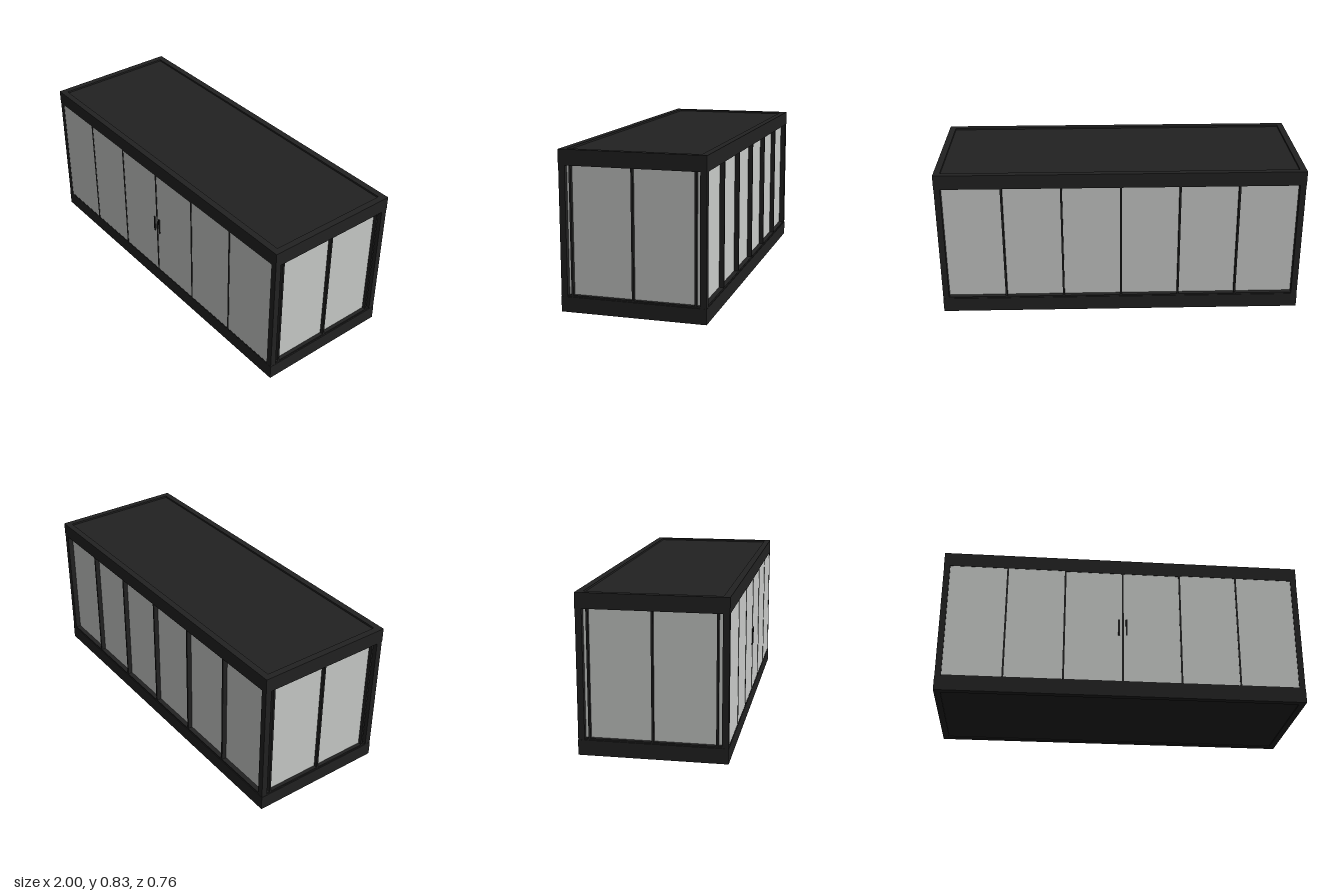
import * as THREE from 'three';

const frameMat = new THREE.MeshStandardMaterial({ color: 0x222222 });
frameMat.name = 'charcoal frame';
const glassMat = new THREE.MeshStandardMaterial({ color: 0xc9cbc9 });
glassMat.name = 'pale glass';

const X = 1, Z = 0.38, H = 0.83;        // outer half sizes and height
const POST = 0.035, BEAM = 0.08;        // post width, beam height
const LOW = 0.088, HIGH = 0.752;        // glazed opening

export function createModel() {
  const model = new THREE.Group();
  model.name = 'glassContainerRoom';

  // Box given by its minimum and maximum corners
  function box(parent, name, mat, x0, x1, y0, y1, z0, z1) {
    const mesh = new THREE.Mesh(new THREE.BoxGeometry(x1 - x0, y1 - y0, z1 - z0), mat);
    mesh.position.set((x0 + x1) / 2, (y0 + y1) / 2, (z0 + z1) / 2);
    mesh.name = name;
    parent.add(mesh);
  }
  function group(name) {
    const g = new THREE.Group();
    g.name = name;
    model.add(g);
    return g;
  }

  // Base and roof rings of beams
  const frame = group('frame');
  for (const [name, y0, y1] of [['base', 0, BEAM], ['roof', H - BEAM, H]]) {
    for (const s of [-1, 1]) {
      const zc = s * (Z - POST / 2), xc = s * (X - POST / 2), h = POST / 2;
      box(frame, name + 'LongBeam', frameMat, -X, X, y0, y1, zc - h, zc + h);
      box(frame, name + 'EndBeam', frameMat, xc - h, xc + h, y0, y1, -Z + POST, Z - POST);
    }
  }

  // Corner posts
  for (const sx of [-1, 1]) for (const sz of [-1, 1]) {
    const xc = sx * (X - POST / 2), zc = sz * (Z - POST / 2), h = POST / 2 - 0.001;
    box(frame, 'cornerPost', frameMat, xc - h, xc + h, BEAM, H - BEAM, zc - h, zc + h);
  }

  // Floor and slightly sunken roof panel
  const ix = X - POST, iz = Z - POST;
  box(model, 'floor', frameMat, -ix, ix, 0.006, BEAM, -iz, iz);
  box(model, 'roofPanel', frameMat, -ix, ix, H - BEAM + 0.01, H - 0.01, -iz, iz);

  // Front glazing, flush with the frame
  const front = group('frontGlazing');
  box(front, 'frontGlass', glassMat, -ix, ix, LOW, HIGH, Z - 0.01, Z - 0.002);
  box(front, 'frontSill', frameMat, -ix, ix, BEAM, LOW, Z - 0.03, Z - 0.001);
  for (let i = -2; i <= 2; i++) {
    const x = i * 0.322;
    box(front, 'frontMullion', frameMat, x - 0.005, x + 0.005, LOW, HIGH, Z - 0.03, Z);
  }
  // Door top rail and pull handles
  box(front, 'doorTopRail', frameMat, -0.322, 0.322, HIGH - 0.006, HIGH, Z - 0.02, Z);
  for (const s of [-1, 1]) {
    box(front, 'doorHandle', frameMat, s * 0.021 - 0.005, s * 0.021 + 0.005, 0.36, 0.456, Z - 0.002, Z + 0.003);
  }

  // Back glazing, recessed behind its mullions
  const back = group('backGlazing');
  box(back, 'backGlass', glassMat, -ix, ix, LOW, HIGH, -Z + 0.03, -Z + 0.038);
  box(back, 'backSill', frameMat, -ix, ix, BEAM, LOW, -Z + 0.004, -Z + 0.04);
  for (let i = -2; i <= 2; i++) {
    const x = i * 0.322;
    box(back, 'backMullion', frameMat, x - 0.005, x + 0.005, LOW, HIGH, -Z + 0.004, -Z + 0.04);
  }

  // End glazing with a centre mullion and two edge bars
  for (const s of [-1, 1]) {
    const end = group(s > 0 ? 'leftEndGlazing' : 'rightEndGlazing');
    const span = (a, b) => (s > 0 ? [a, b] : [-b, -a]);
    box(end, 'endGlass', glassMat, ...span(X - 0.034, X - 0.026), LOW, HIGH, -iz, iz);
    box(end, 'endSill', frameMat, ...span(X - 0.036, X - 0.006), BEAM, LOW, -iz, iz);
    for (const z of [-0.322, 0, 0.322]) {
      box(end, 'endMullion', frameMat, ...span(X - 0.036, X - 0.006), LOW, HIGH, z - 0.005, z + 0.005);
    }
  }

  return model;
}
